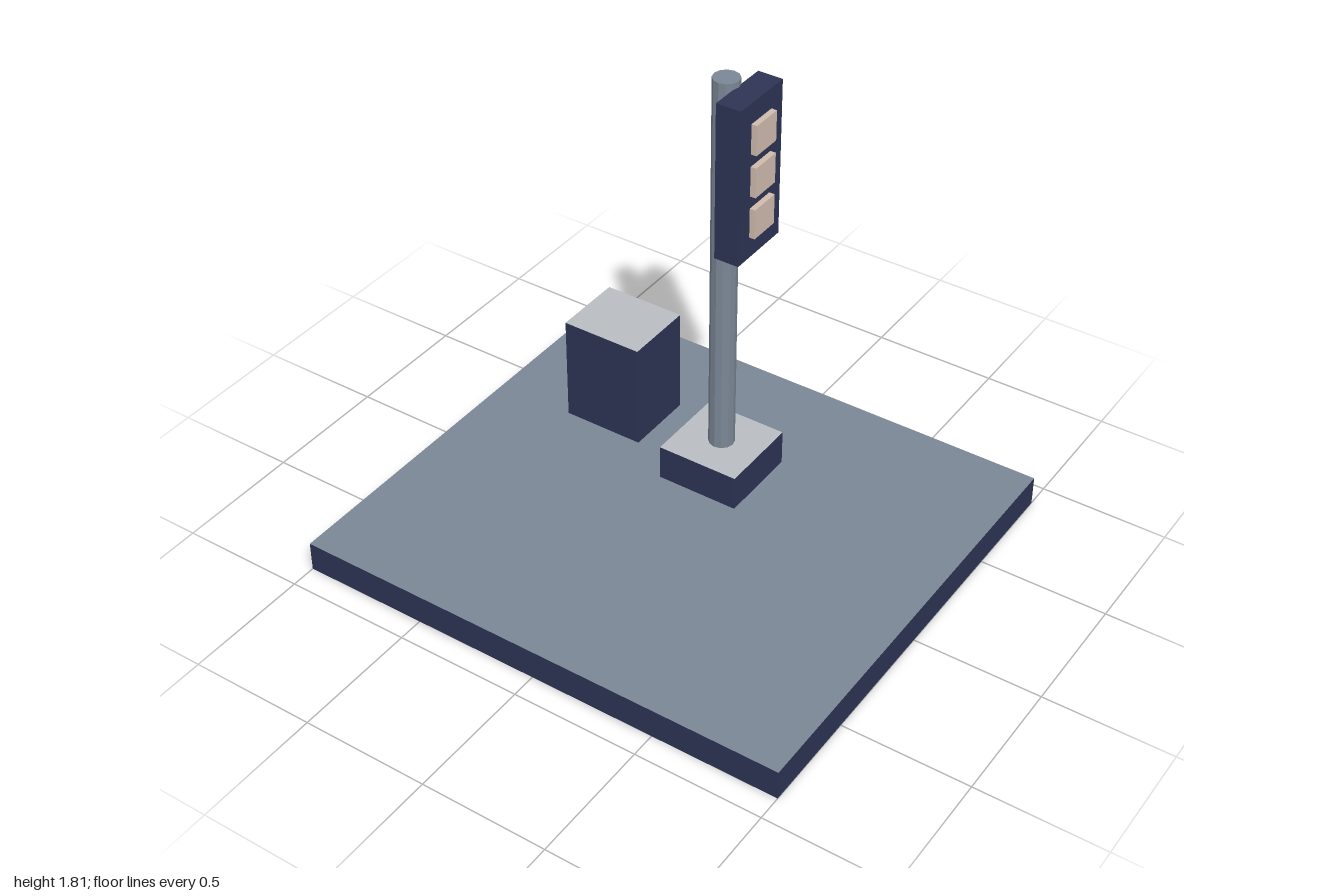
import * as THREE from 'three';

const material = (name, color, extra = {}) => {
  const m = new THREE.MeshStandardMaterial({ color, ...extra });
  m.name = name;
  return m;
};

export function createModel() {
  const navy = material('navy', 0x2d3454);
  const slate = material('slate grey', 0x7b8796, { flatShading: true });
  const pale = material('pale grey', 0xb9bdc2);
  const beige = material('beige', 0xd0bbad);

  const model = new THREE.Group();
  model.name = 'streetSignal';

  // Box from its minimum and maximum corners
  const addBox = (name, [x0, y0, z0], [x1, y1, z1], mat) => {
    const mesh = new THREE.Mesh(new THREE.BoxGeometry(x1 - x0, y1 - y0, z1 - z0), mat);
    mesh.position.set((x0 + x1) / 2, (y0 + y1) / 2, (z0 + z1) / 2);
    mesh.name = name;
    model.add(mesh);
  };
  // Navy sides with a different colour on top and bottom
  const capped = (cap) => [navy, navy, cap, cap, navy, navy];

  // Ground slab, pole footing and the raised cabinet
  addBox('groundSlab', [-1, 0, -0.9], [1, 0.12, 0.9], capped(slate));
  addBox('poleFooting', [-0.165, 0.12, -0.453], [0.165, 0.262, -0.123], capped(pale));
  addBox('cabinet', [-0.64, 0.17, -0.476], [-0.313, 0.597, -0.194], capped(pale));

  // Pole
  const pole = new THREE.Mesh(new THREE.CylinderGeometry(0.05, 0.05, 1.55, 12), slate);
  pole.position.set(0, 0.262 + 0.775, -0.288);
  pole.name = 'pole';
  model.add(pole);

  // Signal housing with three square lamps
  addBox('signalHousing', [0.043, 1.17, -0.418], [0.141, 1.788, -0.158], navy);
  for (let i = 0; i < 3; i++) {
    const y = 1.314 + i * 0.167;
    addBox('lamp' + (i + 1), [0.141, y - 0.059, -0.35], [0.163, y + 0.059, -0.226], beige);
  }

  return model;
}
